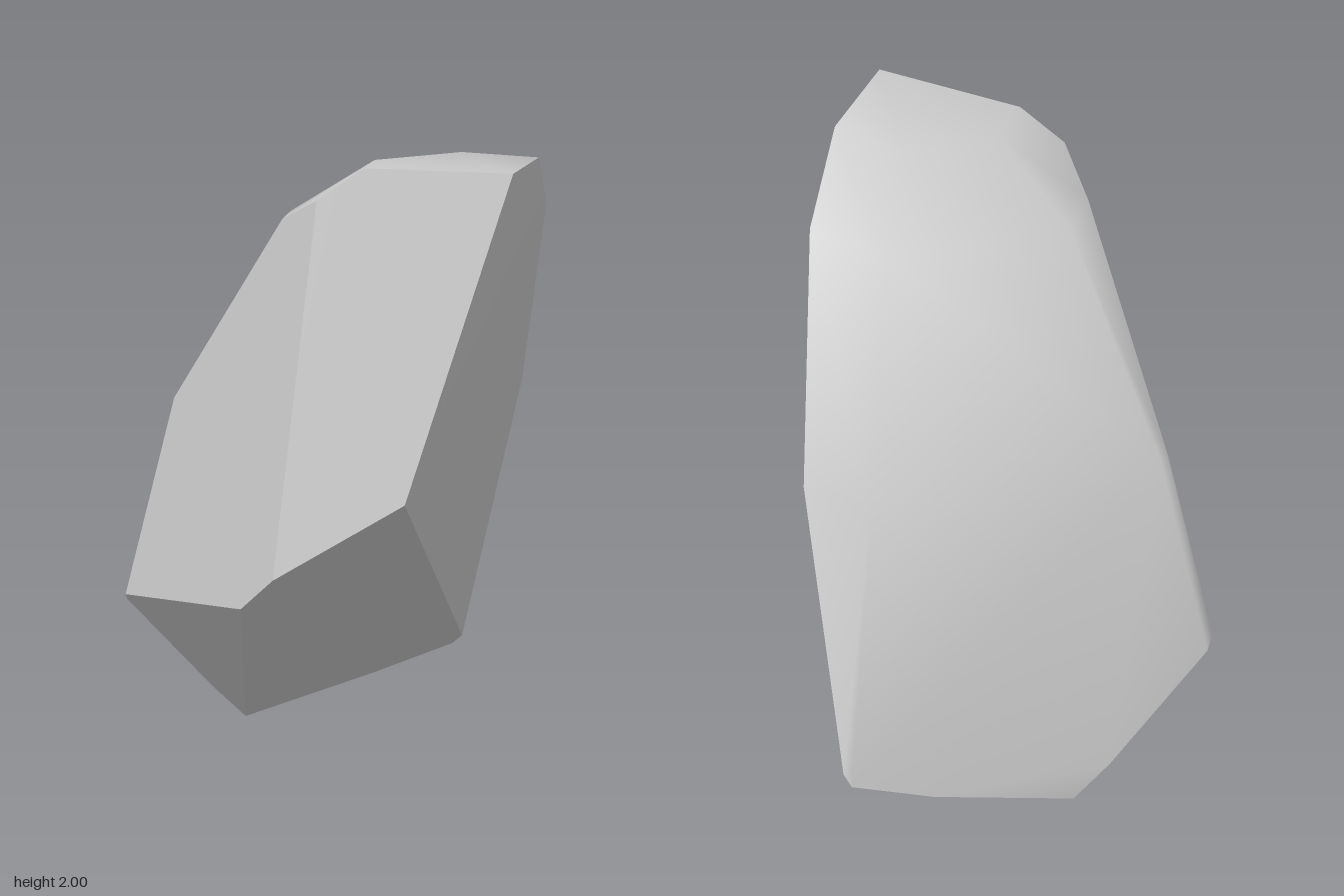
import * as THREE from 'three';

// Corners of the flat cuts
const A = [-0.02, 0.53, 0.74], B = [0.155, 0.65, 0.8], C = [0.54, 0.91, 0.59];
const D = [0.77, 2, 0.3], E = [0.17, 1.89, 0.575], F = [-0.025, 1.8, 0.5];
const G = [-0.58, 1.13, 0.345], H = [-0.745, 0.465, 0.39], I = [-0.775, 0.44, 0.34];
const J = [0.305, 2, 0.5], K = [0.64, 2, -0.02], L = [0.48, 1.8, -0.28];
const M = [0.11, 1.13, -0.65], N = [-0.245, 0.22, -0.8], O = [-0.285, 0.19, -0.8];
const P = [-0.64, 0, -0.135], Q = [-0.43, 0.11, -0.565], R = [-0.69, 0.11, -0.02];
// Corners of the rounded back
const S = [-0.14, 1.13, -0.58], T = [0.37, 2, 0.04], U = [0.235, 2, 0.34];
const V = [-0.1, 1.8, 0.35], W = [-0.582, 1.13, 0.31], X = [0.18, 1.8, -0.2];

const stone = new THREE.MeshStandardMaterial({ color: 0xc8c8c8 });
stone.name = 'stone grey';

// Builds polygons as fans facing away from the middle of the rock;
// corners shared between polygons are welded
function shell(polygons) {
  const middle = new THREE.Vector3(0, 0.95, 0);
  const corners = [...new Set(polygons.flat())];
  const v = corners.map((p) => new THREE.Vector3(...p));
  const index = [];
  for (const polygon of polygons) {
    const ids = polygon.map((p) => corners.indexOf(p));
    for (let i = 1; i < ids.length - 1; i++) {
      const [a, b, c] = [ids[0], ids[i], ids[i + 1]];
      const normal = v[b].clone().sub(v[a]).cross(v[c].clone().sub(v[a]));
      const out = normal.dot(v[a].clone().sub(middle)) > 0;
      index.push(a, out ? b : c, out ? c : b);
    }
  }
  const geometry = new THREE.BufferGeometry().setFromPoints(v);
  geometry.setIndex(index);
  geometry.computeVertexNormals();
  return geometry;
}

export function createModel() {
  const rock = new THREE.Group();
  rock.name = 'rock';
  const add = (name, ...polygons) => {
    const mesh = new THREE.Mesh(shell(polygons), stone);
    mesh.name = name;
    rock.add(mesh);
  };

  // Smoothly shaded back, shoulder and crown
  add('roundedBack',
    [G, H, I, W], [W, I, R, Q, O, S], [S, O, N, M], [R, P, Q], // wall
    [G, W, V, F], [W, S, X, V], [S, M, L, X], // shoulder
    [F, V, U, J, E], [V, X, T, U], [X, L, K, T], // bevel
    [D, J, U, T, K]); // crown

  // Flat cuts with hard edges
  add('frontRightFace', [A, B, E, F, G, H]);
  add('frontLeftFace', [B, C, D, J, E]);
  add('leftFace', [C, D, K, L, M, N]);
  add('lowerFrontFace', [P, A, H, I, R]);
  add('undersideFace', [P, A, B, C, N, O, Q]);
  return rock;
}
